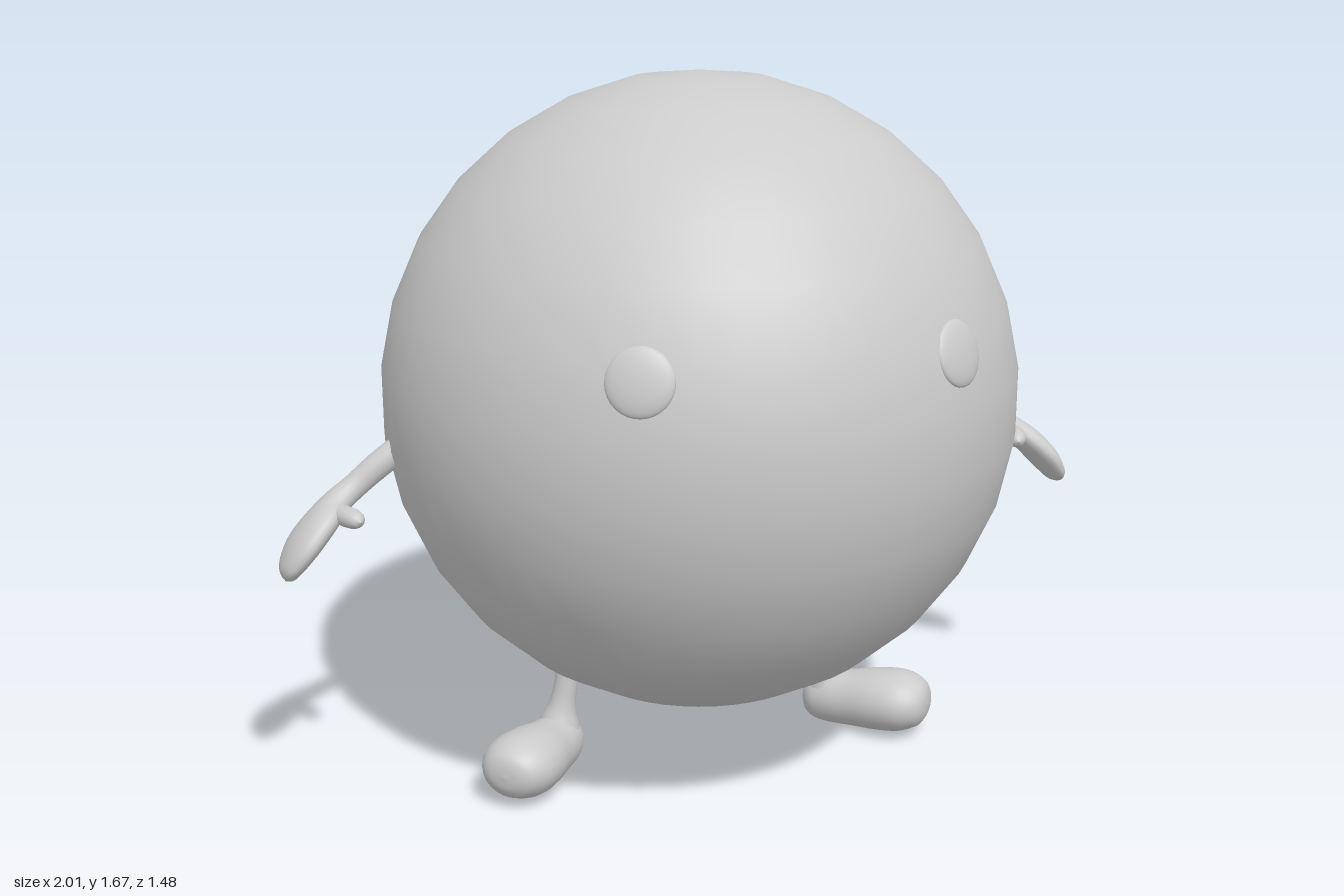
import * as THREE from 'three';

const material = new THREE.MeshStandardMaterial({ color: 0xcccccc });
const CENTER = new THREE.Vector3(0, 0.925, 0);
const RADIUS = 0.745;

// Smooth limb from stations [x, y, z, half width along side, half thickness].
// mirror = -1 builds the copy on the other side of the body.
function limb(name, stations, side, mirror, rings = 36, sides = 20) {
  const path = new THREE.CatmullRomCurve3(
    stations.map(([x, y, z]) => new THREE.Vector3(x * mirror, y, z)), false, 'catmullrom', 0.5);
  const radii = new THREE.CatmullRomCurve3(
    stations.map(([, , , a, b]) => new THREE.Vector3(a, b, 0)), false, 'catmullrom', 0.5);
  const across = new THREE.Vector3(side[0] * mirror, side[1], side[2]);
  const positions = [];
  const index = [];
  for (let i = 0; i <= rings; i++) {
    const t = i / rings;
    const p = path.getPoint(t);
    const r = radii.getPoint(t);
    const tangent = path.getTangent(t);
    const u = across.clone().addScaledVector(tangent, -across.dot(tangent)).normalize();
    const v = tangent.clone().cross(u);
    for (let j = 0; j < sides; j++) {
      const angle = (j / sides) * Math.PI * 2;
      const q = p.clone()
        .addScaledVector(u, Math.max(r.x, 0.0005) * Math.cos(angle))
        .addScaledVector(v, Math.max(r.y, 0.0005) * Math.sin(angle));
      positions.push(q.x, q.y, q.z);
      if (i < rings) {
        const k = (j + 1) % sides;
        const a = i * sides + j, b = i * sides + k;
        index.push(a, b, b + sides, a, b + sides, a + sides);
      }
    }
  }
  const geometry = new THREE.BufferGeometry();
  geometry.setAttribute('position', new THREE.Float32BufferAttribute(positions, 3));
  geometry.setIndex(index);
  geometry.computeVertexNormals();
  const mesh = new THREE.Mesh(geometry, material);
  mesh.name = name;
  return mesh;
}

// Arm widening into a flat mitten hand
const ARM = [
  [0.70, 0.855, -0.04, 0.029, 0.032],
  [0.76, 0.815, -0.043, 0.028, 0.031],
  [0.82, 0.768, -0.045, 0.028, 0.029],
  [0.87, 0.733, -0.035, 0.042, 0.031],
  [0.91, 0.70, -0.012, 0.065, 0.033],
  [0.95, 0.658, 0.0, 0.074, 0.032],
  [0.978, 0.62, 0.008, 0.06, 0.026],
  [0.99, 0.596, 0.012, 0.038, 0.017],
  [0.995, 0.583, 0.013, 0, 0],
];
const THUMB = [
  [0.875, 0.722, -0.03, 0.026, 0.024],
  [0.86, 0.722, 0.015, 0.025, 0.023],
  [0.845, 0.722, 0.05, 0.024, 0.022],
  [0.838, 0.722, 0.07, 0.016, 0.015],
  [0.835, 0.722, 0.08, 0, 0],
];
const LEG = [
  [0.325, 0.32, -0.02, 0.028, 0.028],
  [0.34, 0.22, -0.02, 0.028, 0.028],
  [0.35, 0.165, -0.021, 0.033, 0.033],
  [0.358, 0.12, -0.023, 0.048, 0.048],
  [0.362, 0.07, -0.022, 0.055, 0.055],
];
// Foot pointing diagonally outward, heel to toe
const FOOT = [
  [0.318, 0.068, -0.067, 0, 0],
  [0.323, 0.068, -0.062, 0.03, 0.035],
  [0.338, 0.068, -0.047, 0.052, 0.058],
  [0.365, 0.07, -0.02, 0.064, 0.068],
  [0.41, 0.075, 0.025, 0.075, 0.071],
  [0.46, 0.084, 0.075, 0.09, 0.077],
  [0.505, 0.09, 0.12, 0.091, 0.075],
  [0.535, 0.091, 0.15, 0.071, 0.059],
  [0.549, 0.091, 0.164, 0.042, 0.034],
  [0.553, 0.091, 0.168, 0, 0],
];

export function createModel() {
  const model = new THREE.Group();
  model.name = 'roundCreature';

  // Ball body
  const body = new THREE.Mesh(new THREE.SphereGeometry(RADIUS, 48, 15), material);
  body.name = 'body';
  body.position.copy(CENTER);
  model.add(body);

  // Shallow eye domes resting in the body surface
  for (const [name, x] of [['leftEye', 0.337], ['rightEye', -0.375]]) {
    const z = Math.sqrt(RADIUS ** 2 - x ** 2 - 0.2 ** 2);
    const direction = new THREE.Vector3(x, 0.2, z).normalize();
    const eye = new THREE.Mesh(new THREE.SphereGeometry(1, 32, 16), material);
    eye.name = name;
    eye.scale.set(0.073, 0.073, 0.018);
    eye.quaternion.setFromUnitVectors(new THREE.Vector3(0, 0, 1), direction);
    eye.position.copy(CENTER).addScaledVector(direction, RADIUS - 0.008);
    model.add(eye);
  }

  // Arms and legs on both sides
  for (const [label, s] of [['left', 1], ['right', -1]]) {
    const arm = new THREE.Group();
    arm.name = label + 'Arm';
    arm.add(limb('armAndHand', ARM, [0, 0, 1], s), limb('thumb', THUMB, [1, 0, 0], s, 16, 14));
    const leg = new THREE.Group();
    leg.name = label + 'Leg';
    leg.add(limb('shin', LEG, [1, 0, 0], s, 20), limb('foot', FOOT, [1, 0, -1], s, 40, 24));
    model.add(arm, leg);
  }
  return model;
}
